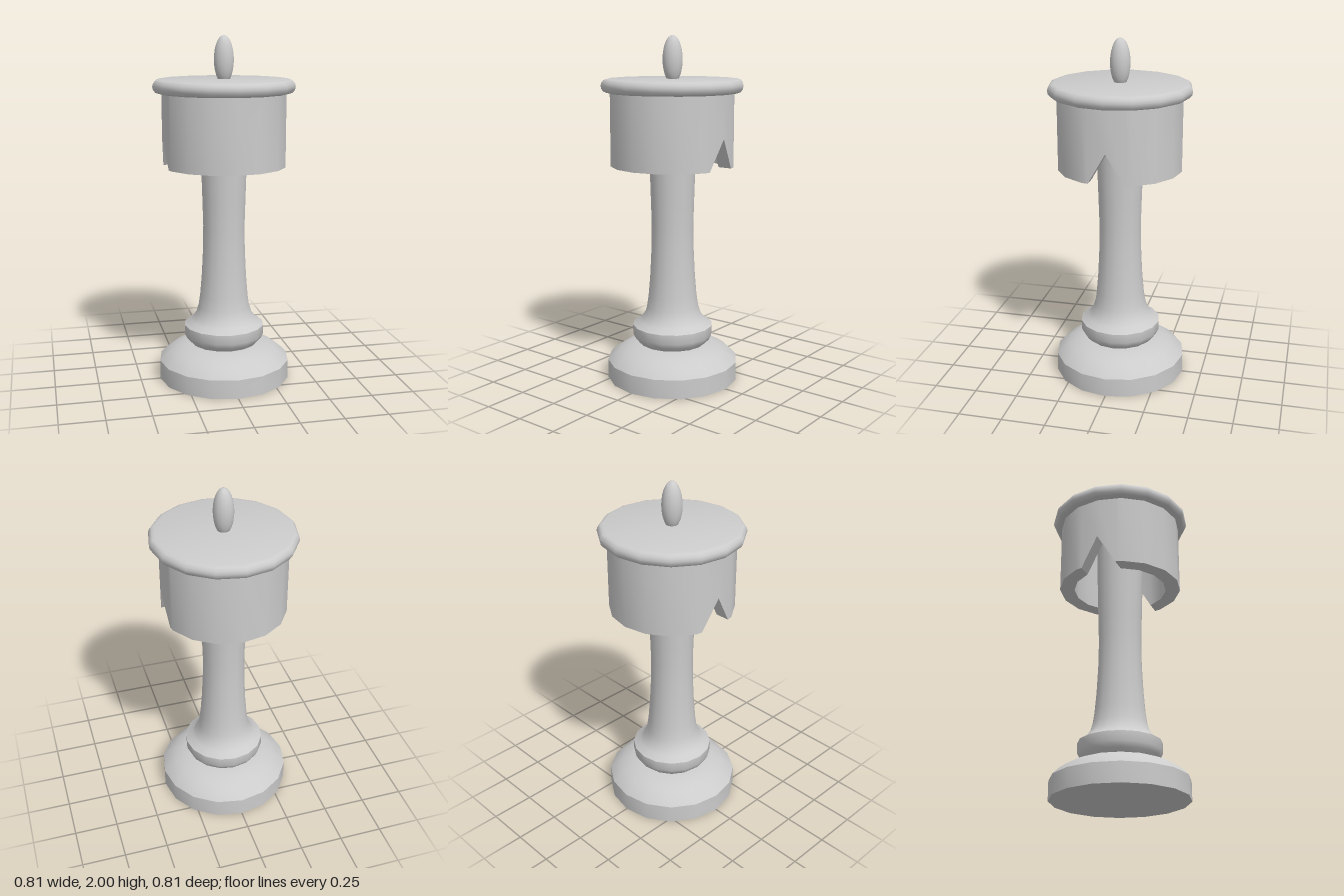
import * as THREE from 'three';
import { toCreasedNormals } from 'three/addons/utils/BufferGeometryUtils.js';

const SIDES = 16;
const STEP = (Math.PI * 2) / SIDES;
const CREASE = 0.62;
const material = new THREE.MeshStandardMaterial({ color: 0xcccccc });

function addMesh(group, name, geometry) {
  const mesh = new THREE.Mesh(toCreasedNormals(geometry, CREASE), material);
  mesh.name = name;
  group.add(mesh);
}

// Turned part from [radius, height] pairs listed bottom to top
function turned(profile) {
  return new THREE.LatheGeometry(profile.map(([r, y]) => new THREE.Vector2(r, y)), SIDES);
}

// Hollow cup wall with a V notch cut through its lower rim at +x and -x
function notchedWall(outer, inner, bottom, top, notchHalf, notchTop) {
  const sections = [];
  const section = (xo, xi, zo, zi, y, s) => sections.push([
    [xo * s, y, zo * s], [xo * s, top, zo * s], [xi * s, top, zi * s], [xi * s, y, zi * s],
  ]);
  const edgeX = (r) => r - notchHalf * Math.tan(STEP / 2);
  for (const s of [1, -1]) {
    section(outer, inner, 0, 0, notchTop, s);
    section(edgeX(outer), edgeX(inner), notchHalf, notchHalf, bottom, s);
    for (let k = 1; k < SIDES / 2; k++) {
      const c = Math.cos(k * STEP), n = Math.sin(k * STEP);
      section(outer * c, inner * c, outer * n, inner * n, bottom, s);
    }
    section(-edgeX(outer), -edgeX(inner), notchHalf, notchHalf, bottom, s);
  }
  const positions = [];
  sections.forEach((a, i) => {
    const b = sections[(i + 1) % sections.length];
    for (let j = 0; j < 4; j++) {
      const k = (j + 1) % 4;
      positions.push(...a[j], ...a[k], ...b[k], ...a[j], ...b[k], ...b[j]);
    }
  });
  const geometry = new THREE.BufferGeometry();
  geometry.setAttribute('position', new THREE.Float32BufferAttribute(positions, 3));
  return geometry;
}

export function createModel() {
  const group = new THREE.Group();
  group.name = 'chessPiece';

  // Foot: straight plinth with a rounded shoulder
  addMesh(group, 'base', turned([
    [0, 0], [0.385, 0], [0.385, 0.11], [0.35, 0.145], [0.31, 0.173],
    [0.26, 0.195], [0.2, 0.21], [0, 0.21],
  ]));

  // Collar ring under the stem
  addMesh(group, 'collar', turned([
    [0, 0.205], [0.195, 0.21], [0.22, 0.235], [0.235, 0.265], [0.235, 0.32], [0, 0.32],
  ]));

  // Waisted stem flaring down into the collar
  addMesh(group, 'stem', turned([
    [0.235, 0.32], [0.195, 0.345], [0.168, 0.38], [0.152, 0.43], [0.142, 0.5],
    [0.132, 0.62], [0.124, 0.78], [0.122, 0.92], [0.126, 1.06], [0.131, 1.22],
    [0.135, 1.4], [0.14, 1.68],
  ]));

  // Hollow head
  addMesh(group, 'cup', notchedWall(0.355, 0.27, 1.265, 1.685, 0.102, 1.44));

  // Rounded lid, which also closes the cup
  addMesh(group, 'lid', turned([
    [0, 1.68], [0.37, 1.68], [0.39, 1.687], [0.402, 1.703], [0.406, 1.72],
    [0.402, 1.737], [0.39, 1.752], [0.37, 1.758], [0, 1.758],
  ]));

  // Tall oval finial, sunk slightly into the lid
  const finial = new THREE.SphereGeometry(1, SIDES, 14);
  finial.scale(0.057, 0.135, 0.057).translate(0, 1.865, 0);
  addMesh(group, 'finial', finial);

  return group;
}
